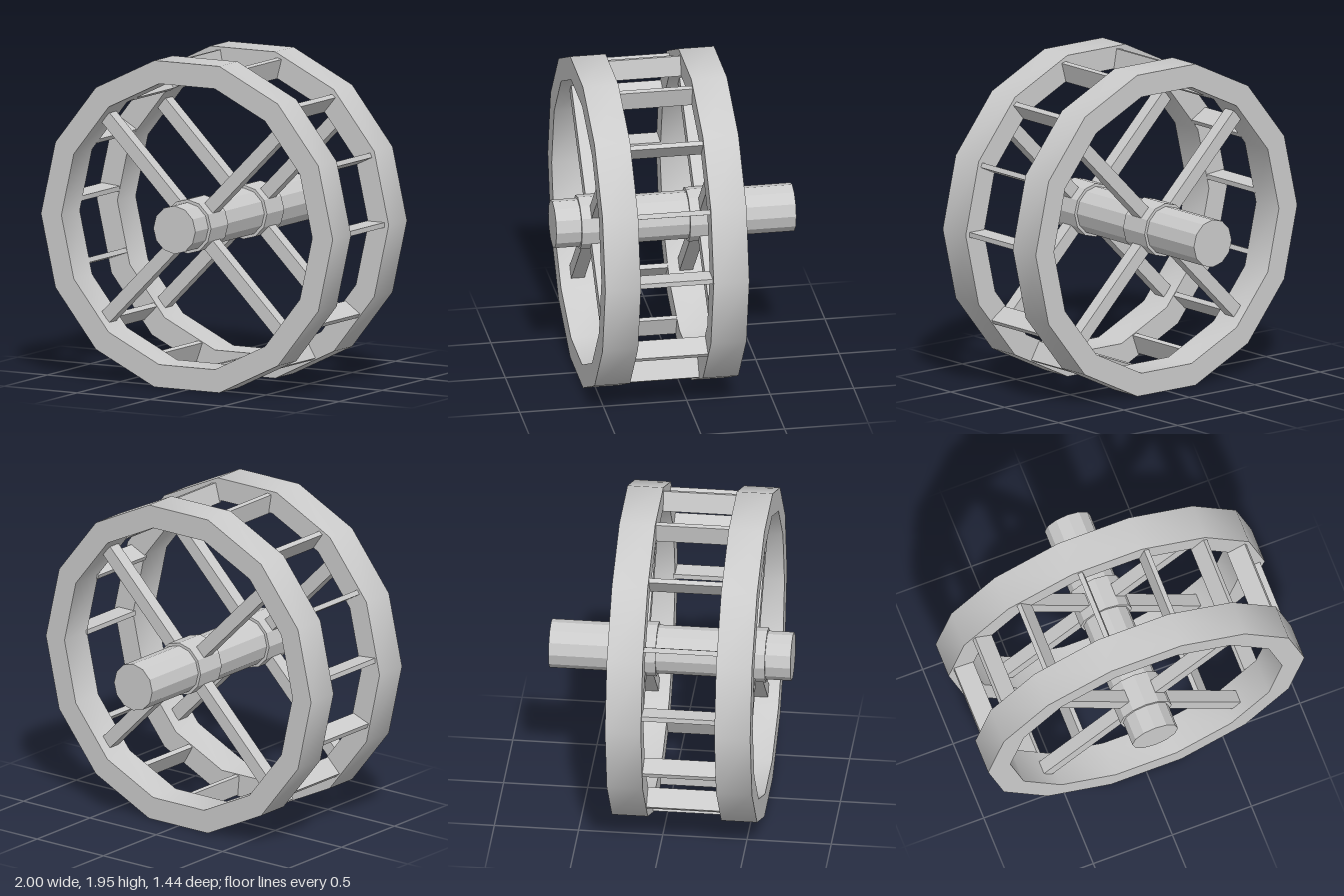
import * as THREE from 'three';
import { toCreasedNormals } from 'three/addons/utils/BufferGeometryUtils.js';

const CENTER_Y = 0.975;
const RIM_DEPTH = 0.213;
const RIM_Z = [0.467, -0.182];

export function createModel() {
  const model = new THREE.Group();
  const wheel = new THREE.Group();
  wheel.name = 'waterWheel';
  wheel.position.y = CENTER_Y;
  model.add(wheel);

  const mat = new THREE.MeshStandardMaterial({ color: 0xcccccc });
  const add = (parent, name, geometry) => {
    const mesh = new THREE.Mesh(geometry, mat);
    mesh.name = name;
    parent.add(mesh);
    return mesh;
  };

  // Turned parts run along z, with one corner on +x
  const alongZ = (g) => g.rotateX(Math.PI / 2).rotateZ(Math.PI / 2);
  const drum = (radius, length) =>
    toCreasedNormals(alongZ(new THREE.CylinderGeometry(radius, radius, length, 12)), 0.5);

  // Fourteen-sided rim with a rectangular section
  const h = RIM_DEPTH / 2;
  const section = [[0.86, -h], [1, -h], [1, h], [0.86, h], [0.86, -h]];
  const rimGeometry = toCreasedNormals(
    alongZ(new THREE.LatheGeometry(section.map(([x, y]) => new THREE.Vector2(x, y)), 14)), 0.5);

  // A box reaching outwards from r0 to r1 at a given angle
  const radialBox = (r0, r1, width, depth, angle) =>
    new THREE.BoxGeometry(r1 - r0, width, depth)
      .translate((r0 + r1) / 2, 0, 0)
      .rotateZ(angle);

  // Two side wheels: rim, hub collar and four diagonal spokes
  RIM_Z.forEach((z, i) => {
    const side = new THREE.Group();
    side.name = i === 0 ? 'frontWheel' : 'backWheel';
    side.position.z = z;
    wheel.add(side);
    add(side, 'rim', rimGeometry);
    add(side, 'hub', drum(0.162, 0.2));
    for (let k = 0; k < 4; k++) {
      add(side, 'spoke', radialBox(0.12, 0.845, 0.08, 0.08, Math.PI / 4 + k * Math.PI / 2));
    }
  });

  // Axle
  add(wheel, 'axle', drum(0.144, 1.436));

  // Paddles between the rims, every 25 degrees with a wider last gap
  const inner = RIM_Z[0] - RIM_Z[1] - RIM_DEPTH;
  for (let k = 0; k < 14; k++) {
    const angle = THREE.MathUtils.degToRad(25 * k);
    const paddle = add(wheel, 'paddle', radialBox(0.848, 0.97, 0.03, inner + 0.02, angle));
    paddle.position.z = (RIM_Z[0] + RIM_Z[1]) / 2;
  }

  return model;
}
